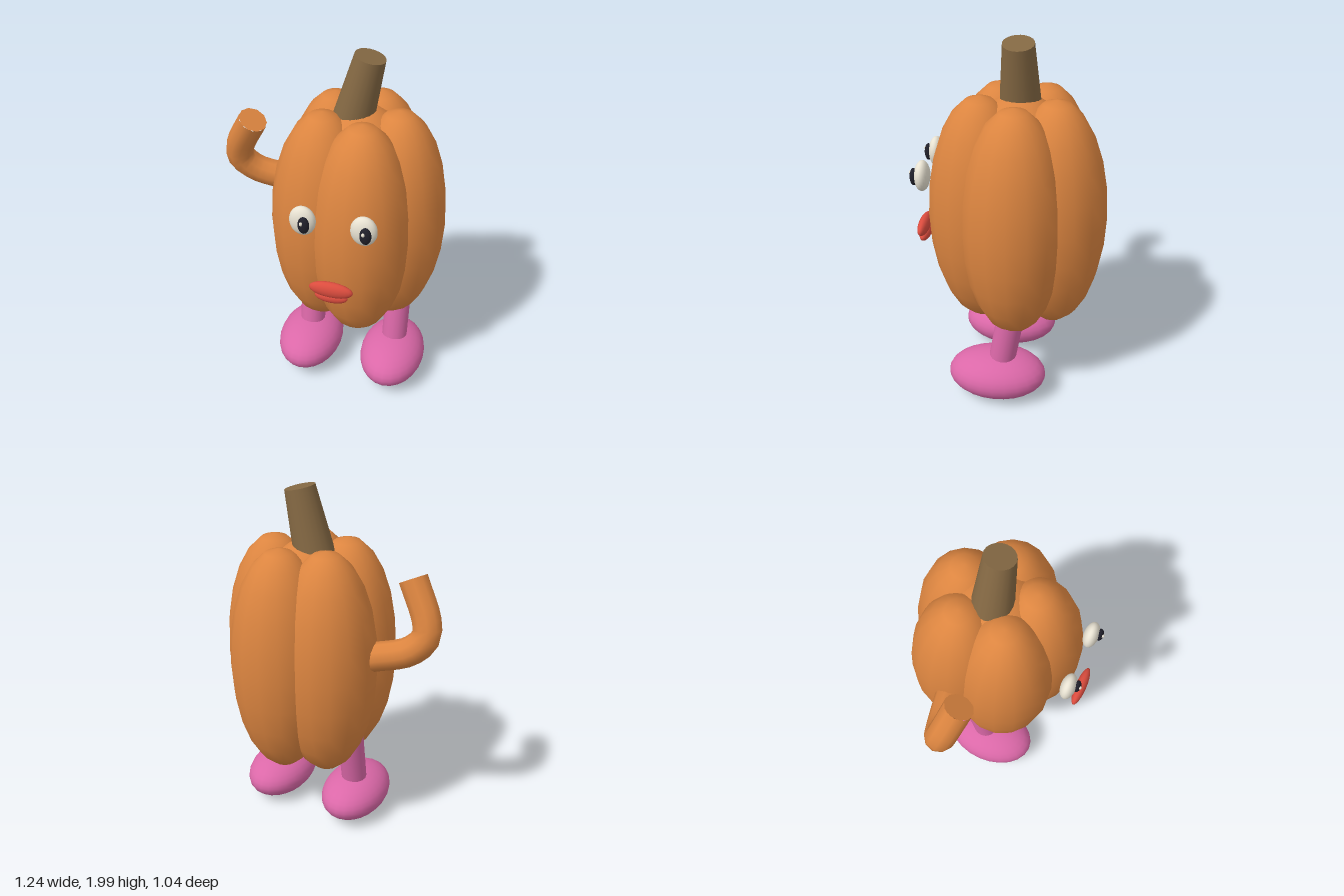
import * as THREE from 'three';

const paint = (color) => new THREE.MeshStandardMaterial({ color });
const orange = paint(0xdc8540);
const pink = paint(0xdb68a8);
const brown = paint(0x846843);
const white = paint(0xe8e2d2);
const black = paint(0x20202a);
const red = paint(0xdb4c3e);

function add(parent, name, geometry, material, position = [0, 0, 0]) {
  const mesh = new THREE.Mesh(geometry, material);
  mesh.name = name;
  mesh.position.set(...position);
  parent.add(mesh);
  return mesh;
}

function ellipsoid(parent, name, material, position, radii, w = 24, h = 16) {
  const geometry = new THREE.SphereGeometry(1, w, h).scale(...radii);
  return add(parent, name, geometry, material, position);
}

// Cylinder running from one point to another
function rod(parent, name, material, from, to, rFrom, rTo, sides) {
  const a = new THREE.Vector3(...from), b = new THREE.Vector3(...to);
  const axis = b.clone().sub(a);
  const geometry = new THREE.CylinderGeometry(rTo, rFrom, axis.length(), sides);
  const mesh = add(parent, name, geometry, material);
  mesh.position.copy(a).add(b).multiplyScalar(0.5);
  mesh.quaternion.setFromUnitVectors(new THREE.Vector3(0, 1, 0), axis.normalize());
  return mesh;
}

export function createModel() {
  const model = new THREE.Group();
  model.name = 'pumpkinFigure';
  const cx = 0.13, cz = -0.045;

  // Pumpkin body: five tall lobes around a core
  const body = new THREE.Group();
  body.name = 'body';
  model.add(body);
  ellipsoid(body, 'core', orange, [cx, 1.045, cz], [0.38, 0.66, 0.38], 20, 14);
  for (let i = 0; i < 5; i++) {
    const a = (i * Math.PI * 2) / 5;
    const lobe = ellipsoid(body, 'lobe', orange,
      [cx + 0.207 * Math.cos(a), 1.06, cz + 0.207 * Math.sin(a)], [0.278, 0.65, 0.278], 16, 12);
    lobe.rotation.y = -a;
  }

  // Leaning, tapered stem
  rod(model, 'stem', brown, [0.084, 1.59, cz], [0.175, 1.98, cz], 0.113, 0.081, 20);

  // Raised, bent arm with a flat end
  const arm = new THREE.Group();
  arm.name = 'rightArm';
  model.add(arm);
  const path = new THREE.CatmullRomCurve3([
    [-0.2, 1.125, -0.14], [-0.3, 1.155, -0.12], [-0.475, 1.21, -0.08], [-0.548, 1.29, -0.05],
    [-0.543, 1.37, -0.03], [-0.438, 1.57, 0.02],
  ].map((p) => new THREE.Vector3(...p)));
  add(arm, 'armTube', new THREE.TubeGeometry(path, 16, 0.078, 10), orange);
  const end = path.getPoint(1);
  const cap = add(arm, 'armEnd', new THREE.CircleGeometry(0.078, 10), orange, end.toArray());
  cap.quaternion.setFromUnitVectors(new THREE.Vector3(0, 0, 1), path.getTangent(1));

  // Legs and feet
  for (const [side, x] of [['left', 0.385], ['right', -0.125]]) {
    rod(model, side + 'Leg', pink, [x, 0.16, 0.025], [x, 0.6, -0.05], 0.074, 0.074, 16);
    ellipsoid(model, side + 'Foot', pink, [x, 0.138, 0.04], [0.187, 0.132, 0.272]);
  }

  // Eyes with pupils and glints
  for (const [side, x] of [['left', 0.287], ['right', -0.028]]) {
    const eye = new THREE.Group();
    eye.name = side + 'Eye';
    eye.position.set(x, 1.29, 0.44);
    model.add(eye);
    ellipsoid(eye, 'eyeball', white, [0, 0, 0], [0.069, 0.083, 0.041]);
    ellipsoid(eye, 'pupil', black, [0.018, 0, 0.04], [0.03, 0.048, 0.021], 16, 12);
    ellipsoid(eye, 'glint', white, [0.01, 0.018, 0.058], [0.009, 0.011, 0.009], 10, 8);
  }

  // Lips
  ellipsoid(model, 'upperLip', red, [0.132, 0.915, 0.485], [0.118, 0.046, 0.031]);
  ellipsoid(model, 'lowerLip', red, [0.132, 0.866, 0.48], [0.089, 0.034, 0.031]);

  return model;
}
